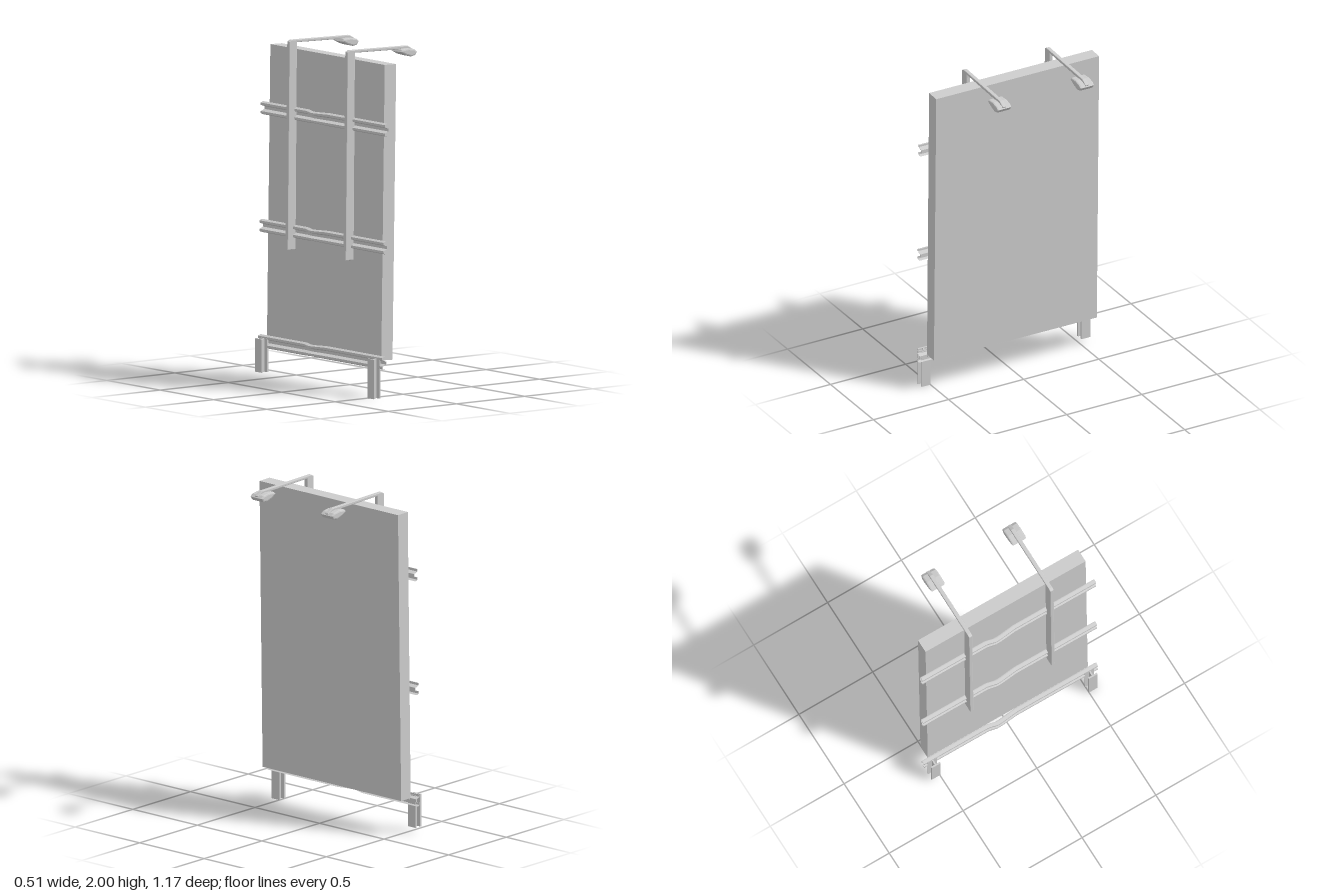
import * as THREE from 'three';

const grey = new THREE.MeshStandardMaterial({ color: 0xcccccc, flatShading: true, side: THREE.DoubleSide });
const TILT = 0.0145; // backward lean of the board, in x per unit of y

// Extrude an outline in x/y along z, centred on z = 0
function extrude(points, depth, bevel = 0, steps = 1) {
  const shape = new THREE.Shape(points.map(([x, y]) => new THREE.Vector2(x, y)));
  const geo = new THREE.ExtrudeGeometry(shape, {
    depth: depth - 2 * bevel, steps, bevelEnabled: bevel > 0,
    bevelThickness: bevel, bevelSize: bevel, bevelOffset: -bevel, bevelSegments: 2,
  });
  return geo.translate(0, 0, -depth / 2 + bevel);
}

function add(parent, name, geo, x = 0, y = 0, z = 0) {
  const mesh = new THREE.Mesh(geo, grey);
  mesh.name = name;
  mesh.position.set(x, y, z);
  parent.add(mesh);
  return mesh;
}

// Back face of the leaning board at height y
const boardBack = (y) => -0.185 + TILT * (y - 0.215);

// Corrugated rail with a dent a little behind the middle
function railGeometry() {
  const face = [[-0.016, 0.038], [-0.032, 0.031], [-0.032, 0.018], [-0.005, 0.008],
    [-0.005, -0.008], [-0.032, -0.018], [-0.032, -0.031], [-0.016, -0.038]];
  const inner = face.map(([x, y]) => [x + 0.005, y]).reverse();
  const geo = extrude([...face, ...inner], 1.172, 0, 60);
  const p = geo.attributes.position;
  for (let i = 0; i < p.count; i++) {
    const z = p.getZ(i);
    const up = THREE.MathUtils.clamp((z + 0.15) / 0.05, 0, 1);
    const down = THREE.MathUtils.clamp((0.04 - z) / 0.11, 0, 1);
    const dent = Math.min(up, down);
    p.setX(i, p.getX(i) - 0.012 * dent);
    p.setY(i, p.getY(i) * (1 - 0.12 * dent));
  }
  geo.computeVertexNormals();
  return geo;
}

export function createModel() {
  const model = new THREE.Group();
  model.name = 'signBoard';
  const body = new THREE.Group();
  body.name = 'assembly';
  body.rotation.y = -0.0065;
  model.add(body);

  // Leaning board
  add(body, 'board', extrude([[-0.185, 0.217], [-0.103, 0.215], [-0.076, 1.938], [-0.16, 1.94]], 1.08), 0, 0, -0.003);

  // Three corrugated rails
  const rail = railGeometry();
  for (const y of [0.208, 0.88, 1.566]) add(body, 'rail', rail, boardBack(y), y, 0);

  // Lamp posts with arm and lamp head
  const post = extrude([[-0.246, 0.775], [-0.186, 0.775], [-0.176, 1.983], [0.2, 1.973],
    [0.245, 1.956], [0.25, 1.968], [0.21, 1.991], [-0.215, 2.0], [-0.232, 1.99]], 0.024, 0.004);
  const head = extrude([[0.13, 1.963], [0.17, 1.943], [0.21, 1.931], [0.238, 1.936],
    [0.252, 1.957], [0.235, 1.972], [0.19, 1.98], [0.14, 1.976]], 0.095, 0.009);
  for (const z of [-0.281, 0.267]) {
    const lamp = new THREE.Group();
    lamp.name = 'lamp';
    lamp.position.z = z;
    body.add(lamp);
    add(lamp, 'lampPost', post);
    add(lamp, 'lampHead', head);
  }

  // H-section legs and the blocks that join them to the bottom rail
  for (const [z, bottom, x] of [[0.53, 0, -0.232], [-0.53, 0.035, -0.233]]) {
    const leg = new THREE.Group();
    leg.name = 'leg';
    leg.position.set(x, 0, z);
    body.add(leg);
    const h = 0.23 - bottom, y = bottom + h / 2;
    for (const s of [-1, 1]) add(leg, 'flange', new THREE.BoxGeometry(0.01, h, 0.06), s * 0.02, y);
    add(leg, 'web', new THREE.BoxGeometry(0.034, h, 0.009), 0, y);
    add(leg, 'bolt', new THREE.CylinderGeometry(0.007, 0.007, 0.03, 6).rotateZ(Math.PI / 2), 0.038, 0.208);
  }
  return model;
}
